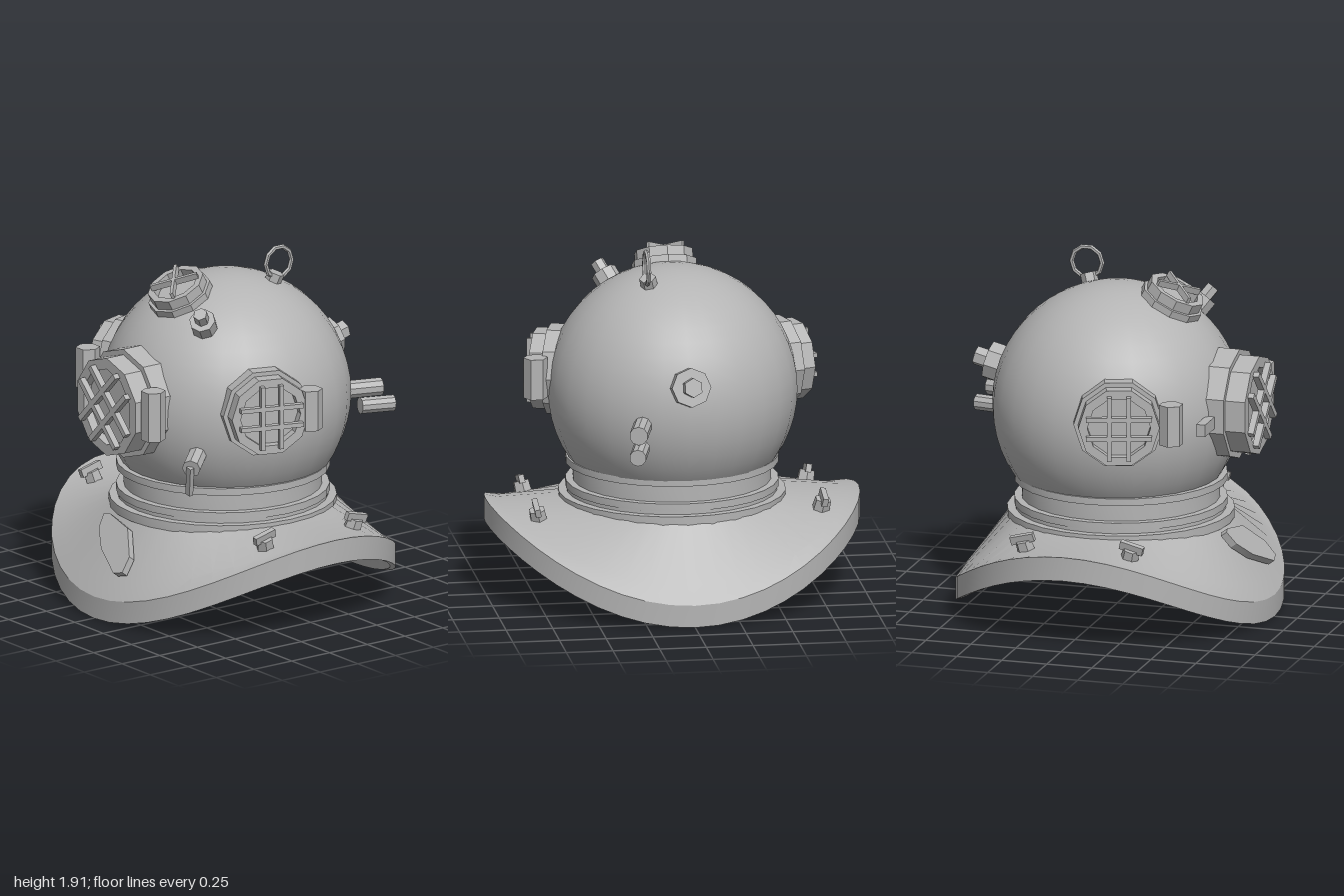
import * as THREE from 'three';
import { toCreasedNormals } from 'three/addons/utils/BufferGeometryUtils.js';

const metal = new THREE.MeshStandardMaterial({ color: 0xb4b4b4 });
metal.name = 'grey metal';
const innerMetal = new THREE.MeshStandardMaterial({ color: 0xb4b4b4, side: THREE.DoubleSide });
innerMetal.name = 'grey metal shell';

const CENTRE = [0, 1.11, 0];

function part(parent, name, geometry, pos = [0, 0, 0], rot = [0, 0, 0]) {
  const mesh = new THREE.Mesh(toCreasedNormals(geometry, 0.4), metal);
  mesh.name = name;
  mesh.position.set(...pos);
  mesh.rotation.set(...rot);
  parent.add(mesh);
  return mesh;
}

// Group at origin whose +z axis points along dir
function mount(root, name, origin, dir) {
  const g = new THREE.Group();
  g.name = name;
  g.position.set(...origin);
  g.lookAt(origin[0] + dir[0], origin[1] + dir[1], origin[2] + dir[2]);
  root.add(g);
  return g;
}

// Cylinder along +z from d0 to d1
function stub(parent, name, r, d0, d1, sides = 8) {
  const geo = new THREE.CylinderGeometry(r, r, d1 - d0, sides).rotateX(Math.PI / 2);
  return part(parent, name, geo, [0, 0, (d0 + d1) / 2]);
}

const lathe = (pts, n) => new THREE.LatheGeometry(pts.map(p => new THREE.Vector2(...p)), n);

// Ten-sided porthole with recessed glass and a guard grid
function porthole(group, R, d, depth, offsets, gridAngle, spin) {
  const front = d + depth;
  const frame = lathe([
    [R, d - 0.12], [R, d], [R * 0.9, d], [R * 0.9, front],
    [R * 0.7, front], [R * 0.7, front - 0.05], [0, front - 0.05]], 10);
  part(group, 'portholeFrame', frame.rotateX(Math.PI / 2), [0, 0, 0], [0, 0, spin]);
  for (const turn of [0, Math.PI / 2]) {
    for (const o of offsets) {
      const len = 2 * Math.sqrt((R * 0.76) ** 2 - o * o);
      const bar = new THREE.BoxGeometry(len, R * 0.1, 0.035).translate(0, o, 0);
      part(group, 'guardBar', bar, [0, 0, front + 0.015], [0, 0, gridAngle + turn]);
    }
  }
}

// Saddle-shaped breastplate from rings: [rx, rz, y at sides, y at front and back]
function breastplate() {
  const rows = [
    [0.58, 0.58, 0.53, 0.53], [0.93, 0.80, 0.515, 0.225],
    [1, 0.86, 0.53, 0.13], [1, 0.86, 0.40, 0.01],
    [0.97, 0.83, 0.40, 0.015], [0.90, 0.77, 0.47, 0.19],
    [0.54, 0.54, 0.49, 0.49]];
  const n = 48, pos = [], idx = [];
  for (const [rx, rz, ySide, yFront] of rows) {
    for (let i = 0; i < n; i++) {
      const t = (i / n) * Math.PI * 2, c = Math.cos(t);
      pos.push(rx * Math.sin(t), ySide + (yFront - ySide) * c * c, rz * c + 0.015);
    }
  }
  for (let k = 0; k < rows.length; k++) {
    const k2 = (k + 1) % rows.length;
    for (let i = 0; i < n; i++) {
      const j = (i + 1) % n;
      const a = k * n + i, b = k * n + j, c = k2 * n + i, d = k2 * n + j;
      idx.push(a, c, b, b, c, d);
    }
  }
  const geo = new THREE.BufferGeometry();
  geo.setAttribute('position', new THREE.Float32BufferAttribute(pos, 3));
  geo.setIndex(idx);
  geo.computeVertexNormals();
  return geo;
}

export function createModel() {
  const root = new THREE.Group();
  root.name = 'divingHelmet';

  // Dome, open at the neck
  const dome = new THREE.Mesh(
    new THREE.SphereGeometry(0.665, 28, 18, 0, Math.PI * 2, 0, Math.PI * 0.69), innerMetal);
  dome.name = 'dome';
  dome.position.set(...CENTRE);
  root.add(dome);

  // Neck with stacked rings
  part(root, 'neckRings', lathe([
    [0.52, 0.50], [0.605, 0.50], [0.605, 0.55], [0.56, 0.55], [0.56, 0.57], [0.567, 0.57],
    [0.567, 0.61], [0.527, 0.61], [0.527, 0.705], [0.567, 0.705], [0.567, 0.743],
    [0.50, 0.743], [0.52, 0.50]], 28), [0, 0, 0.02]);

  part(root, 'breastplate', breastplate());

  // Blank oval plate on the chest
  const outline = [[-0.19, 0.134], [-0.17, 0.054], [-0.07, -0.046], [0.118, -0.147],
    [0.182, -0.127], [0.171, -0.034], [0.043, 0.106], [-0.15, 0.147]];
  const plate = new THREE.ExtrudeGeometry(
    new THREE.Shape(outline.map(p => new THREE.Vector2(...p))), { depth: 0.04, bevelEnabled: false });
  part(root, 'chestPlate', plate, [0, 0.375, 0.715], [-0.6435, 0, 0]);

  // Portholes
  porthole(mount(root, 'frontPorthole', [0, 1.165, 0], [0, 0, 1]),
    0.3, 0.68, 0.11, [-0.065, 0.065], Math.PI / 4, 0);
  for (const s of [-1, 1]) {
    porthole(mount(root, s > 0 ? 'leftPorthole' : 'rightPorthole', [0, 1.18, 0], [s * 0.95, 0, 0.31]),
      0.24, 0.665, 0.075, [-0.052, 0.052], 0, Math.PI / 2);
  }
  porthole(mount(root, 'topPorthole', CENTRE, [0, 0.89, 0.455]),
    0.175, 0.68, 0.055, [0], Math.PI / 4, 0);

  // Hexagonal hinges beside the portholes
  for (const [x, y, z, h] of [[0.305, 1.18, 0.71, 0.27], [-0.58, 1.19, 0.48, 0.22], [0.735, 1.19, -0.01, 0.22]]) {
    part(root, 'hinge', new THREE.CylinderGeometry(0.065, 0.065, h, 6), [x, y, z], [0, Math.PI / 6, 0]);
  }
  part(root, 'sideLug', new THREE.BoxGeometry(0.22, 0.065, 0.05), [-0.345, 1.132, 0.605]);

  // Valves with nuts
  const crown = mount(root, 'crownValve', CENTRE, [0.32, 0.55, 0.4]);
  stub(crown, 'valveBody', 0.07, 0.6, 0.735);
  stub(crown, 'valveNut', 0.038, 0.7, 0.8, 6);
  const rear = mount(root, 'rearValve', CENTRE, [0, 0.17, -0.67]);
  stub(rear, 'valveBody', 0.105, 0.6, 0.735);
  stub(rear, 'valveNut', 0.052, 0.7, 0.81, 6);

  // Drain tap with lever
  const tap = mount(root, 'drainTap', CENTRE, [0.46, -0.19, 0.56]);
  stub(tap, 'tapBody', 0.05, 0.6, 0.8);
  part(root, 'tapLever', new THREE.BoxGeometry(0.035, 0.17, 0.025), [0.475, 0.835, 0.595], [0.15, 0, -0.25]);

  // Rear air pipes
  stub(mount(root, 'upperAirPipe', [0.235, 1.065, -0.56], [0.25, -0.02, -0.97]), 'pipe', 0.05, 0, 0.25, 10);
  stub(mount(root, 'lowerAirPipe', [0.265, 0.965, -0.69], [0.25, -0.03, -0.97]), 'pipe', 0.045, 0, 0.19, 10);

  // Lifting ring
  const eye = mount(root, 'ringBase', CENTRE, [0.155, 0.62, -0.2]);
  stub(eye, 'ringStud', 0.045, 0.62, 0.71, 6);
  part(root, 'liftingRing', new THREE.TorusGeometry(0.085, 0.013, 6, 10),
    [0.17, 1.825, -0.222], [0, Math.PI / 2, 0]);

  // Wing nuts on the shoulders
  for (const x of [-0.76, 0.76]) {
    for (const z of [-0.275, 0.31]) {
      const nut = new THREE.Group();
      nut.name = 'wingNut';
      nut.position.set(x, 0.505, z);
      nut.rotation.set(Math.sign(z) * 0.25, 0, -Math.sign(x) * 0.2);
      root.add(nut);
      part(nut, 'nutBase', new THREE.CylinderGeometry(0.045, 0.05, 0.07, 6));
      part(nut, 'nutWing', new THREE.BoxGeometry(0.03, 0.045, 0.13), [0, 0.045, 0]);
    }
  }
  return root;
}
